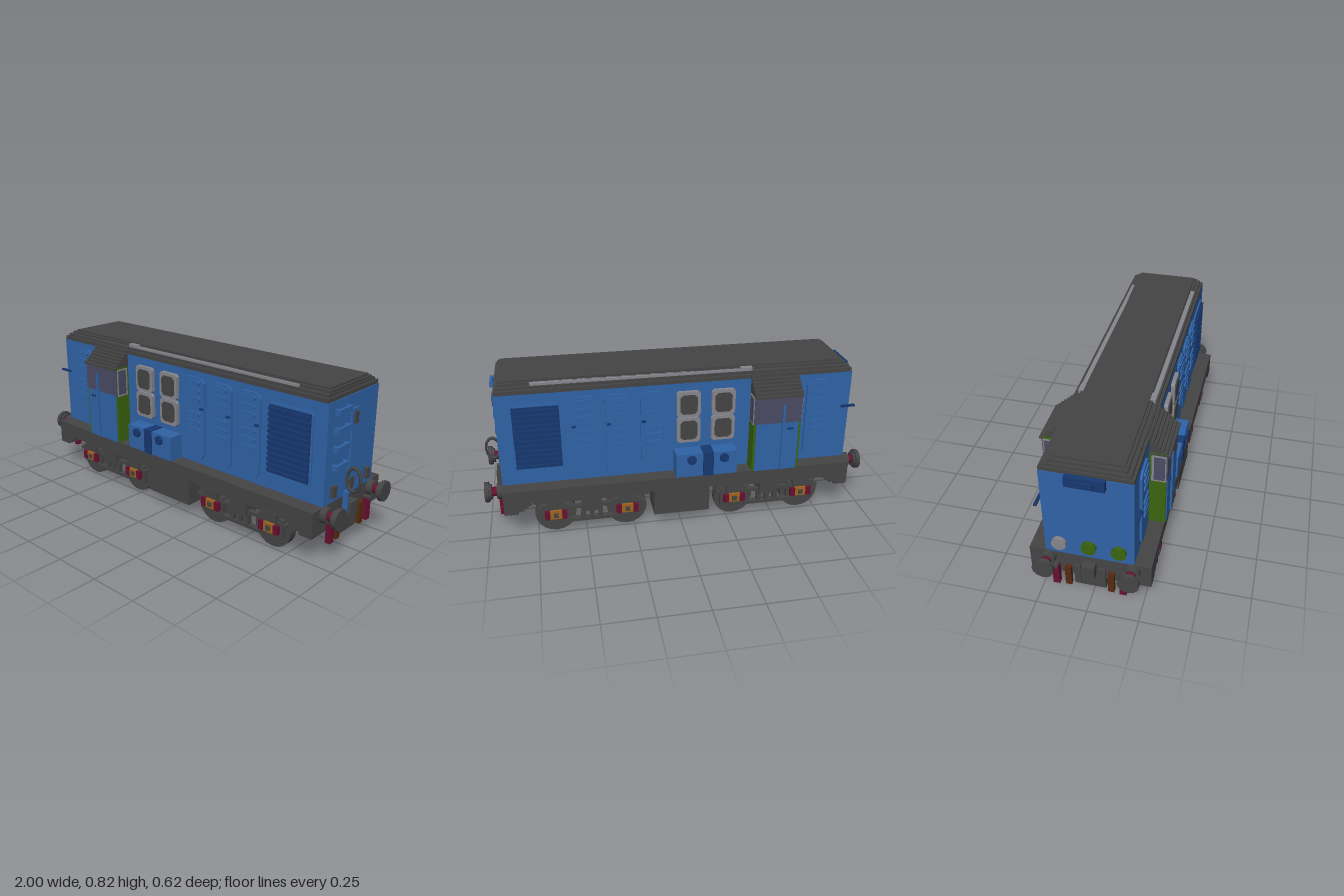
import * as THREE from 'three';

const mat = (name, color) => {
  const m = new THREE.MeshStandardMaterial({ color });
  m.name = name;
  return m;
};
const M = {
  blue: mat('bodyBlue', 0x2f62a6),
  navy: mat('darkBlue', 0x16376e),
  dark: mat('darkGrey', 0x444444),
  pale: mat('paleGrey', 0x85858c),
  glass: mat('smokedGlass', 0x4a4a64),
  green: mat('green', 0x3a640f),
  red: mat('crimson', 0x681030),
  brown: mat('brown', 0x552a10),
  orange: mat('orange', 0xa0641c),
};

export function createModel() {
  const root = new THREE.Group();
  root.name = 'locomotive';

  const add = (name, geo, m, parent = root) => {
    const mesh = new THREE.Mesh(geo, m);
    mesh.name = name;
    parent.add(mesh);
    return mesh;
  };
  // box given by its lower and upper limits on each axis
  const box = (name, m, x0, x1, y0, y1, z0, z1) => {
    const b = add(name, new THREE.BoxGeometry(x1 - x0, y1 - y0, Math.abs(z1 - z0)), m);
    b.position.set((x0 + x1) / 2, (y0 + y1) / 2, (z0 + z1) / 2);
    return b;
  };
  // the same box on both long sides
  const sides = (name, m, x0, x1, y0, y1, z0, z1) => {
    for (const s of [1, -1]) box(name, m, x0, x1, y0, y1, s * z0, s * z1);
  };
  const shapeOf = (pts) => new THREE.Shape(pts.map((p) => new THREE.Vector2(...p)));
  const extrude = (shape, depth) =>
    new THREE.ExtrudeGeometry(shape, { depth, bevelEnabled: false, curveSegments: 8 }).translate(0, 0, -depth / 2);
  const octagon = (w, h, c) => shapeOf([
    [-w + c, -h], [w - c, -h], [w, -h + c], [w, h - c], [w - c, h], [-w + c, h], [-w, h - c], [-w, -h + c],
  ]);
  // chamfered plate on both long walls
  const panel = (name, m, x, y, w, h, c, z, d) => {
    for (const s of [1, -1]) add(name, extrude(octagon(w / 2, h / 2, c), d), m).position.set(x, y, s * (z + d / 2));
  };

  // Underframe with stepped ends
  const half = [[0.75, 0.21], [0.77, 0.21], [0.77, 0.195], [0.79, 0.195], [0.79, 0.18], [0.81, 0.18],
    [0.81, 0.165], [0.84, 0.165], [0.84, 0.15], [0.91, 0.15], [0.91, 0.28]];
  const mirrored = half.map(([x, y]) => [-x, y]).reverse();
  add('underframe', extrude(shapeOf([...half, ...mirrored]), 0.58), M.dark);

  // Hull and roof
  box('body', M.blue, -0.91, 0.91, 0.28, 0.77, -0.21, 0.21);
  box('roofEdge', M.dark, -0.905, 0.905, 0.77, 0.79, -0.21, 0.21);
  box('roofStep', M.dark, -0.895, 0.895, 0.79, 0.803, -0.195, 0.195);
  box('roofTop', M.dark, -0.88, 0.89, 0.803, 0.815, -0.175, 0.175);
  box('roofCrown', M.dark, -0.86, 0.88, 0.815, 0.825, -0.16, 0.16);
  sides('roofRail', M.pale, -0.37, 0.73, 0.795, 0.815, 0.165, 0.187);
  sides('roofRailEnd', M.pale, -0.38, -0.32, 0.80, 0.82, 0.14, 0.187);

  // Cab, wider than the hood, with a stepped roof
  box('cab', M.green, -0.62, -0.37, 0.28, 0.71, -0.292, 0.292);
  const prof = [[0.308, 0.692]];
  for (let i = 0; i < 8; i++) {
    const z = 0.308 - i * 0.0155, y = 0.705 + i * 0.0135;
    prof.push([z, y], [z - 0.0155, y]);
  }
  prof.push([0.16, 0.815], [0.16, 0.825]);
  const cabRoof = add('cabRoof', extrude(shapeOf([...prof, ...prof.map(([z, y]) => [-z, y]).reverse()]), 0.25), M.dark);
  cabRoof.rotation.y = Math.PI / 2;
  cabRoof.position.x = -0.495;
  sides('cabDoor', M.blue, -0.608, -0.382, 0.28, 0.55, 0.29, 0.297);
  sides('cabWindow', M.glass, -0.62, -0.37, 0.55, 0.693, 0.29, 0.297);
  sides('cabHandrail', M.blue, -0.53, -0.518, 0.28, 0.65, 0.295, 0.307);
  sides('doorHandle', M.navy, -0.58, -0.55, 0.51, 0.52, 0.296, 0.303);
  for (const x of [-0.621, -0.369]) {
    sides('cabSideFrame', M.pale, x - 0.003, x + 0.003, 0.545, 0.695, 0.222, 0.291);
    sides('cabSideWindow', M.glass, x - 0.005, x + 0.005, 0.555, 0.688, 0.234, 0.285);
  }

  // Louvred access panels
  for (const x of [-0.74, 0.13, 0.305, 0.48]) {
    panel('accessPanel', M.blue, x, 0.525, 0.14, 0.43, 0.025, 0.21, 0.012);
    for (const y of [0.715, 0.672, 0.63, 0.55, 0.507, 0.465])
      panel('louvre', M.blue, x, y, 0.09, 0.022, 0.008, 0.222, 0.008);
    if (x > 0) sides('panelLatch', M.navy, x + 0.045, x + 0.065, 0.58, 0.59, 0.222, 0.232);
  }
  sides('grabRail', M.navy, -0.935, -0.86, 0.58, 0.591, 0.222, 0.235);

  // Radiator grille
  panel('grillePanel', M.blue, 0.715, 0.535, 0.25, 0.36, 0.015, 0.21, 0.008);
  sides('grille', M.navy, 0.6, 0.83, 0.37, 0.705, 0.212, 0.221);
  for (let i = 0; i < 12; i++) {
    const y = 0.378 + i * 0.0275;
    sides('grilleSlat', M.navy, 0.6, 0.83, y, y + 0.013, 0.221, 0.231);
  }

  // Side windows, two panes each
  for (const x of [-0.225, -0.045])
    for (const y of [0.66, 0.518]) {
      panel('windowFrame', M.pale, x, y, 0.122, 0.138, 0.012, 0.21, 0.02);
      panel('windowPane', M.dark, x, y, 0.088, 0.104, 0.015, 0.226, 0.008);
    }

  // Battery boxes with strap and knobs
  sides('batteryBox', M.blue, -0.29, 0.03, 0.28, 0.41, 0.21, 0.292);
  sides('batteryStrap', M.navy, -0.165, -0.11, 0.28, 0.413, 0.21, 0.297);
  for (const x of [-0.22, -0.05])
    panel('batteryKnob', M.navy, x, 0.378, 0.045, 0.045, 0.013, 0.292, 0.014);

  // Buffers, hoses and couplings at both ends
  for (const e of [1, -1]) {
    const end = (name, m, a, b, y0, y1, z0, z1) =>
      box(name, m, Math.min(e * a, e * b), Math.max(e * a, e * b), y0, y1, z0, z1);
    for (const z of [0.2, -0.2]) {
      for (const [name, m, r, x, l] of [['bufferBase', M.dark, 0.04, 0.92, 0.04], ['bufferShaft', M.red, 0.024, 0.95, 0.05],
        ['bufferRim', M.dark, 0.04, 0.972, 0.012], ['bufferHead', M.dark, 0.052, 0.989, 0.022]]) {
        const b = add(name, new THREE.CylinderGeometry(r, r, l, 12), m);
        b.rotation.z = Math.PI / 2;
        b.position.set(e * x, 0.245, z);
      }
    }
    for (const s of [1, -1]) {
      end('brakeHose', M.red, 0.91, 0.937, 0.09, 0.205, s * 0.145, s * 0.177);
      end('hoseTap', M.dark, 0.91, 0.945, 0.2, 0.215, s * 0.15, s * 0.172);
      end('airHose', M.brown, 0.91, 0.932, 0.09, 0.205, s * 0.088, s * 0.118);
      end('beamBracket', M.dark, 0.89, 0.92, 0.105, 0.22, s * 0.045, s * 0.075);
    }
    end('drawPlate', M.dark, 0.88, 0.915, 0.09, 0.2, -0.075, 0.075);
    end('drawHook', M.dark, 0.91, 0.95, 0.18, 0.25, -0.03, 0.03);
  }

  // Right end: ladder, lamp irons and coupling ring
  for (const y of [0.721, 0.634, 0.546, 0.457]) {
    box('ladderRung', M.blue, 0.925, 0.938, y - 0.014, y + 0.014, 0.06, 0.16);
    for (const z of [0.067, 0.153]) box('rungMount', M.blue, 0.91, 0.926, y - 0.014, y + 0.014, z - 0.007, z + 0.007);
  }
  box('lampColumn', M.blue, 0.91, 0.92, 0.28, 0.61, -0.018, 0.018);
  box('lampBoard', M.blue, 0.91, 0.922, 0.605, 0.705, -0.03, 0.03);
  for (const [y, z] of [[0.662, 0], [0.34, 0], [0.34, 0.145], [0.34, -0.145]])
    box('lampIron', M.dark, 0.91, 0.93, y - 0.028, y + 0.028, z - 0.014, z + 0.014);
  const ring = add('couplingRing', new THREE.TorusGeometry(0.06, 0.01, 6, 12), M.dark);
  ring.scale.x = 0.6;
  ring.position.set(0.957, 0.372, 0.037);
  box('ringHanger', M.blue, 0.91, 0.935, 0.2, 0.305, 0.03, 0.044);

  // Left end: headlamp box, marker discs and handle
  box('headlampBox', M.navy, -0.935, -0.91, 0.725, 0.78, -0.09, 0.09);
  box('headlampBracket', M.navy, -0.945, -0.91, 0.74, 0.765, -0.04, 0.04);
  for (const [z, m] of [[-0.14, M.pale], [0, M.green], [0.14, M.green]]) {
    const d = add('markerDisc', new THREE.CylinderGeometry(0.036, 0.036, 0.02, 10), m);
    d.rotation.z = Math.PI / 2;
    d.position.set(-0.919, 0.35, z);
  }
  // Fuel tanks
  box('tankMiddle', M.dark, -0.15, 0.15, 0.09, 0.215, -0.12, 0.12);
  sides('sideTank', M.dark, -0.15, 0.145, 0.062, 0.215, 0.12, 0.28);

  // Bogies
  for (const cx of [-0.475, 0.47]) {
    box('bolster', M.dark, cx - 0.05, cx + 0.05, 0.13, 0.21, -0.24, 0.24);
    sides('bogieTopBeam', M.dark, cx - 0.295, cx + 0.295, 0.185, 0.208, 0.235, 0.268);
    sides('bogieMidBeam', M.dark, cx - 0.28, cx + 0.28, 0.135, 0.152, 0.235, 0.26);
    sides('bogieLowBeam', M.dark, cx - 0.13, cx + 0.13, 0.06, 0.077, 0.235, 0.265);
    sides('springPlank', M.dark, cx - 0.05, cx + 0.05, 0.125, 0.205, 0.24, 0.278);
    for (const dx of [-0.045, 0, 0.045])
      sides('springPost', M.dark, cx + dx - 0.012, cx + dx + 0.012, 0.07, 0.13, 0.238, 0.262);
    for (const x of [cx - 0.185, cx + 0.185]) {
      sides('hornGuide', M.dark, x - 0.075, x + 0.075, 0.065, 0.165, 0.235, 0.256);
      sides('axleSpring', M.dark, x - 0.045, x + 0.045, 0.145, 0.195, 0.24, 0.272);
      sides('axleBox', M.orange, x - 0.03, x + 0.03, 0.088, 0.137, 0.25, 0.272);
      for (const d of [-0.044, 0.044])
        sides('boxGuide', M.red, x + d - 0.013, x + d + 0.013, 0.09, 0.137, 0.245, 0.278);
      sides('axleCap', M.dark, x - 0.012, x + 0.012, 0.1, 0.124, 0.27, 0.28);
      for (const s of [1, -1]) {
        const tread = add('wheel', new THREE.CylinderGeometry(0.105, 0.105, 0.044, 20), M.dark);
        tread.rotation.x = Math.PI / 2;
        tread.position.set(x, 0.105, s * 0.212);
      }
      box('axle', M.dark, x - 0.02, x + 0.02, 0.088, 0.128, -0.19, 0.19);
    }
  }
  return root;
}
